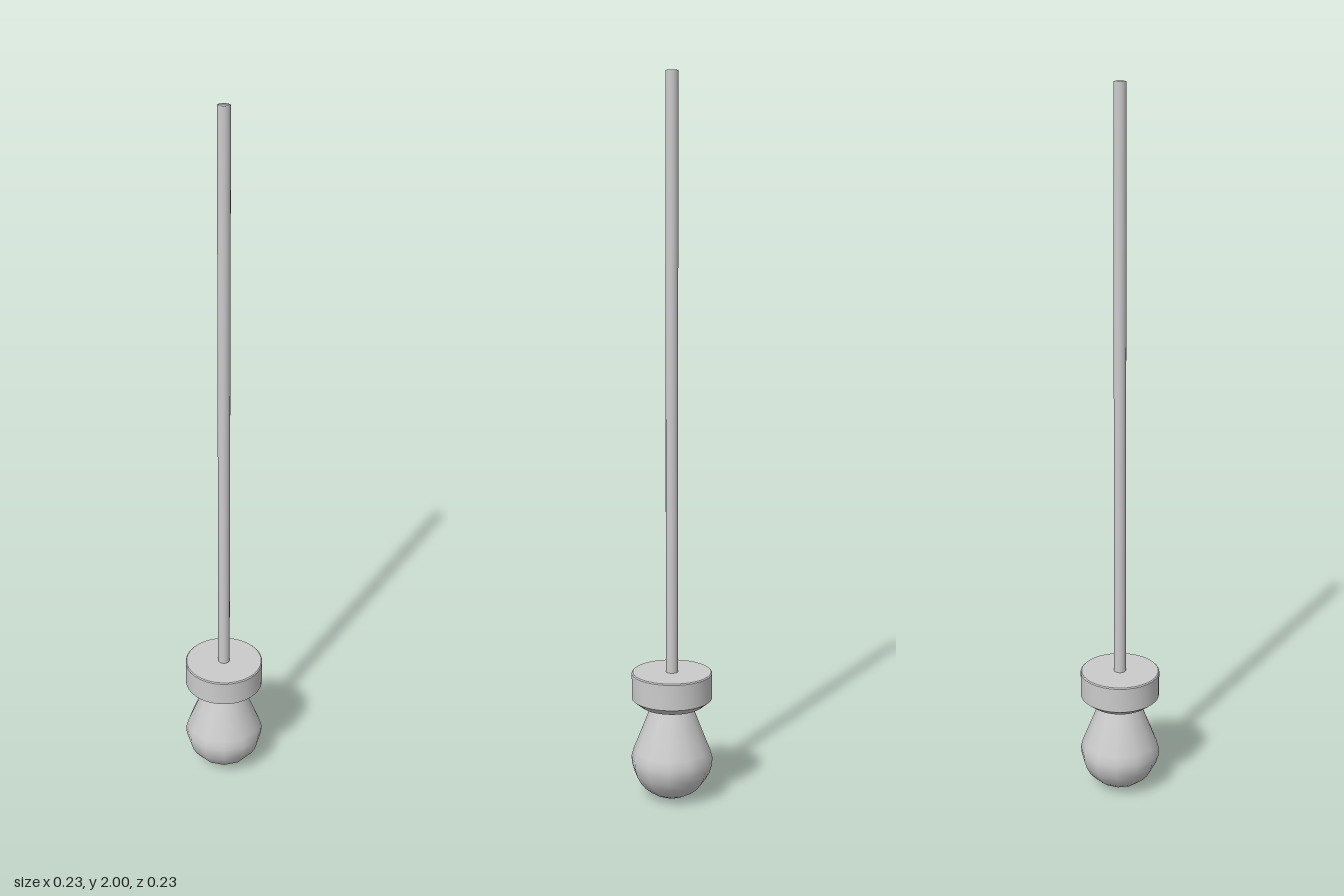
import * as THREE from 'three';
import { toCreasedNormals } from 'three/addons/utils/BufferGeometryUtils.js';

const material = new THREE.MeshStandardMaterial({ color: 0xcccccc });

// Profile points are [radius, height], from bottom to top
function turned(name, profile, sides, crease) {
  let geometry = new THREE.LatheGeometry(profile.map(([r, y]) => new THREE.Vector2(r, y)), sides);
  if (crease) geometry = toCreasedNormals(geometry, crease);
  const mesh = new THREE.Mesh(geometry, material);
  mesh.name = name;
  return mesh;
}

export function createModel() {
  const group = new THREE.Group();
  group.name = 'bulbEndedRod';

  // Pear-shaped bulb: round underside, then a straight taper up to the neck
  const radius = 0.115;
  const steps = 8;
  const bulb = [];
  for (let i = 0; i <= steps; i++) {
    const a = (i / steps) * Math.PI / 2;
    bulb.push([radius * Math.sin(a), radius * (1 - Math.cos(a))]);
  }
  bulb.push([0.108, 0.14], [0.082, 0.205], [0.055, 0.275]);
  group.add(turned('bulb', bulb, 12));

  // Collar disc with a chamfered lower edge and a fine upper edge
  group.add(turned('collar', [
    [0, 0.27], [0.088, 0.27], [0.113, 0.29], [0.113, 0.362], [0.11, 0.365], [0, 0.365],
  ], 32, 0.6));

  // Long slim rod with a softly shaded closed tip
  group.add(turned('rod', [[0.017, 0.36], [0.017, 2], [0, 2]], 16));

  return group;
}
